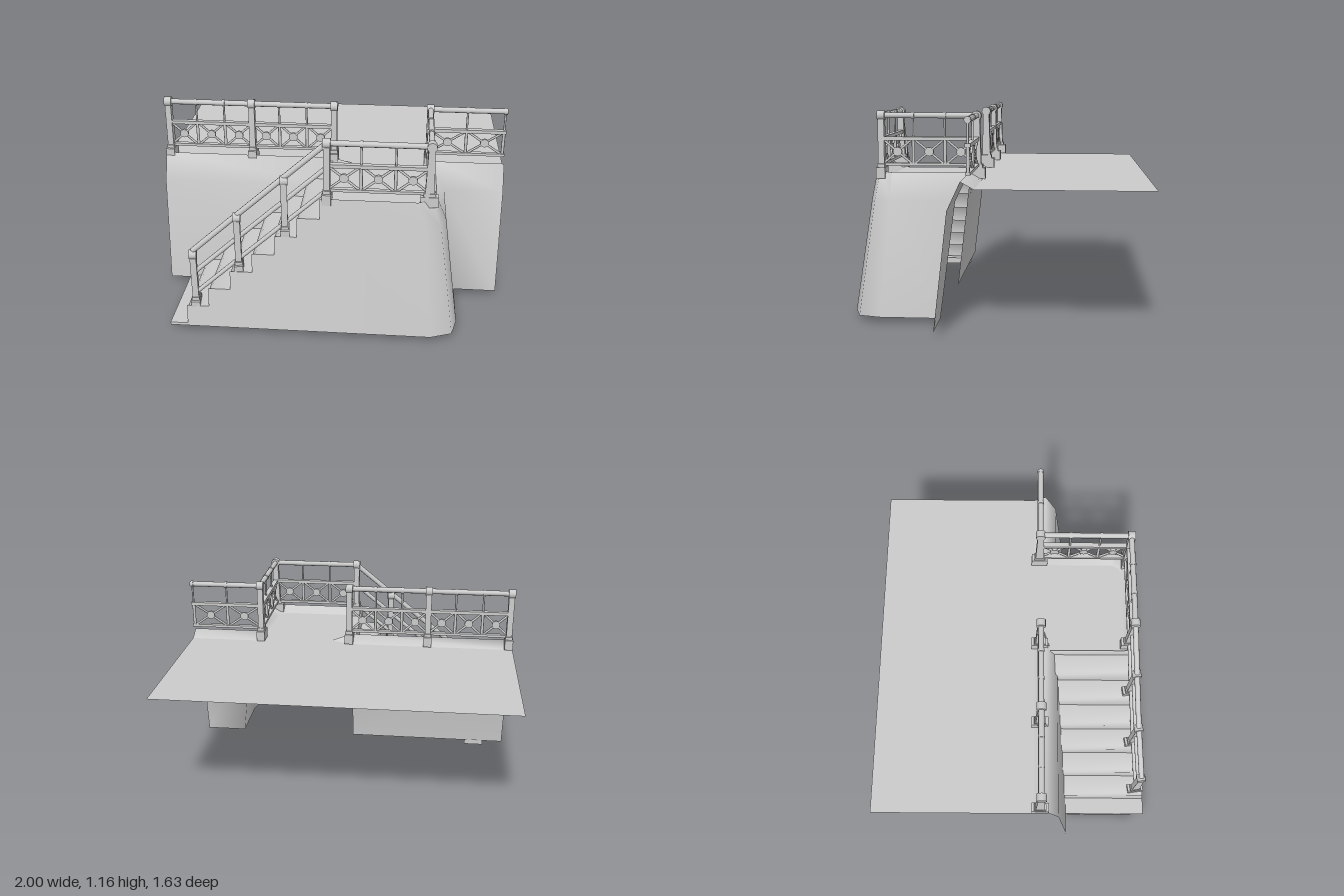
import * as THREE from 'three';
import { toCreasedNormals } from 'three/addons/utils/BufferGeometryUtils.js';

const solid = new THREE.MeshStandardMaterial({ color: 0xcccccc });
const sheet = new THREE.MeshStandardMaterial({ color: 0xcccccc, side: THREE.DoubleSide });
const V = (x, y, z) => new THREE.Vector3(x, y, z);
const UP = V(0, 1, 0);

function add(parent, name, geometry, material = solid) {
  const mesh = new THREE.Mesh(geometry, material);
  mesh.name = name;
  parent.add(mesh);
  return mesh;
}

// Sheet stretched between rows of points
function loft(rows, crease) {
  const n = rows[0].length, index = [];
  for (let r = 0; r < rows.length - 1; r++)
    for (let i = 0; i < n - 1; i++) {
      const a = r * n + i, b = a + n;
      index.push(a, a + 1, b, a + 1, b + 1, b);
    }
  const g = new THREE.BufferGeometry().setFromPoints(rows.flat());
  g.setIndex(index);
  return toCreasedNormals(g, crease);
}

// Flat polygon from [x, y] pairs
const flat = pts => new THREE.ShapeGeometry(new THREE.Shape(pts.map(([x, y]) => new THREE.Vector2(x, y))));

// Round bar between two points
function bar(parent, name, p, q, r, sides = 10) {
  const d = q.clone().sub(p);
  const m = add(parent, name, new THREE.CylinderGeometry(r, r, d.length(), sides));
  m.position.copy(p).add(q).multiplyScalar(0.5);
  m.quaternion.setFromUnitVectors(UP, d.normalize());
}

// Heights: rim of the walls, ground behind the curb, foot of the walls
const RIM = 0.82, GROUND = 0.78, BOTTOM = 0.035;
const FIRST = -0.775, RUN = 0.125, RISE = 0.109;

// Leaning wall planes: z as a function of height
const frontZ = y => 0.815 - (y - BOTTOM) * 0.1465;
const backZ = y => y > 0.67 ? 0.17 + (RIM - y) * 0.467 : 0.24 + (0.67 - y) * 0.118;

// Step profile in x and y from the foot to the landing, with an optional rounded nose
function stepProfile(nose, last) {
  const pts = [[-0.875, 0.05], [FIRST, 0.05]];
  for (let i = 0; i < 7; i++) {
    const x = FIRST + i * RUN, y = i === 6 ? last : 0.16 + i * RISE;
    if (nose) pts.push([x, y - nose], [x + nose, y]);
    else pts.push([x, y]);
    if (i < 6) pts.push([x + RUN, y]);
  }
  return pts;
}

// Post with foot, tapered shaft and a round cap lying along the rail
function post(parent, x, y, z, angle = 0, foot = 0.06) {
  const g = new THREE.Group();
  g.name = 'post';
  g.position.set(x, y, z);
  g.rotation.y = angle;
  const base = add(g, 'postFoot', new THREE.BoxGeometry(0.05, foot, 0.096));
  base.position.y = 0.025 - foot / 2;
  const collar = add(g, 'postCollar', new THREE.BoxGeometry(0.042, 0.02, 0.066));
  collar.position.y = 0.034;
  const shaftGeo = new THREE.BoxGeometry(0.035, 0.27, 0.05);
  const p = shaftGeo.attributes.position;
  for (let i = 0; i < p.count; i++) if (p.getY(i) > 0) p.setZ(i, p.getZ(i) * 0.68);
  shaftGeo.computeVertexNormals();
  add(g, 'postShaft', shaftGeo).position.y = 0.175;
  const cap = add(g, 'postCap', new THREE.CylinderGeometry(0.027, 0.027, 0.042, 12));
  cap.rotation.z = Math.PI / 2;
  cap.position.y = 0.31;
  parent.add(g);
}

// Level railing with n braced bays from (x0,z0) to (x1,z1)
function railing(parent, x0, z0, x1, z1, n, overhang = 0) {
  const g = new THREE.Group();
  g.name = 'railing';
  g.position.set(x0, RIM, z0);
  g.rotation.y = Math.atan2(-(z1 - z0), x1 - x0);
  const len = Math.hypot(x1 - x0, z1 - z0), end = len + overhang, bay = len / n;
  bar(g, 'topRail', V(0, 0.31, 0), V(end, 0.31, 0), 0.016);
  const mid = add(g, 'middleRail', new THREE.BoxGeometry(end, 0.02, 0.03));
  mid.position.set(end / 2, 0.183, 0);
  const low = add(g, 'bottomRail', new THREE.BoxGeometry(end, 0.016, 0.026));
  low.position.set(end / 2, 0.04, 0);
  for (let i = 0; i < n; i++) {
    const a = i * bay, b = a + bay, c = (a + b) / 2;
    bar(g, 'brace', V(a + 0.01, 0.045, 0), V(b - 0.01, 0.175, 0), 0.007, 6);
    bar(g, 'brace', V(a + 0.01, 0.175, 0), V(b - 0.01, 0.045, 0), 0.007, 6);
    const disc = add(g, 'braceDisc', new THREE.CylinderGeometry(0.025, 0.025, 0.014, 14));
    disc.rotation.x = Math.PI / 2;
    disc.position.set(c, 0.11, 0);
    if (i < n - 1 || overhang) {
      bar(g, 'lowerBaluster', V(b, 0.04, 0), V(b, 0.18, 0), 0.009, 8);
      bar(g, 'upperBaluster', V(b, 0.18, 0), V(b, 0.31, 0), 0.006, 8);
      bar(g, 'balusterCollar', V(b - 0.008, 0.31, 0), V(b + 0.008, 0.31, 0), 0.019);
    }
  }
  parent.add(g);
}

export function createModel() {
  const model = new THREE.Group();
  model.name = 'steppedTerrace';

  // Outlines of the landing wall (x, z) at foot, shoulder, rim and inner curb
  const left = FIRST + 6 * RUN;
  const foot = [[left, frontZ(BOTTOM)], [0.6, frontZ(BOTTOM)], [0.72, 0.77], [0.75, 0.65], [0.75, 0.315], [1, 0.315]];
  const shoulder = [[left, frontZ(0.67)], [0.55, frontZ(0.67)], [0.63, 0.69], [0.66, 0.6], [0.66, 0.24], [1, 0.24]];
  const rim = [[left, frontZ(RIM)], [0.5, frontZ(RIM)], [0.57, 0.67], [0.6, 0.6], [0.6, 0.17], [1, 0.17]];
  const curb = [[left, 0.64], [0.47, 0.64], [0.52, 0.62], [0.54, 0.58], [0.54, 0.1], [1, 0.1]];
  const row = (pts, y) => pts.map(([x, z]) => V(x, y, z));
  add(model, 'landingWall', loft([row(foot, BOTTOM), row(shoulder, 0.67), row(rim, RIM), row(curb, GROUND)], 1.75), sheet);

  // Flat ground with the landing tongue, inside the curb
  const ground = flat([[-1, 0.82], [-1, -0.1], [left, -0.1], ...curb.map(([x, z]) => [x, -z]), [1, 0.82]]);
  add(model, 'ground', ground.rotateX(-Math.PI / 2).translate(0, GROUND, 0), sheet);

  // Retaining wall behind the stairs, its curb and the curb's sloped end
  const span = (y, z) => [V(-1, y, z), V(0, y, z)];
  add(model, 'backWall', loft([...[BOTTOM, 0.67, RIM].map(y => span(y, backZ(y))), span(GROUND, 0.1)], 1.75), sheet);
  const tip = V(0, RIM, 0.17);
  add(model, 'curbEnd', loft([[V(0, GROUND, 0.19), V(0.12, GROUND, 0.15), V(0, GROUND, 0.1)], [tip, tip, tip]], 1), sheet);

  // Stairs and the wall below their outer edge
  const steps = stepProfile(0.02, GROUND);
  add(model, 'steps', loft([frontZ, backZ].map(f => steps.map(([x, y]) => V(x, y, f(y)))), 0.9), sheet);
  const sideGeo = flat([[left, BOTTOM], ...stepProfile(0, RIM).reverse(), [-0.875, BOTTOM]]);
  const sp = sideGeo.attributes.position;
  for (let i = 0; i < sp.count; i++) sp.setZ(i, frontZ(sp.getY(i)));
  sideGeo.computeVertexNormals();
  add(model, 'stairWall', sideGeo, sheet);
  add(model, 'bottomSlab', new THREE.BoxGeometry(0.12, 0.04, 0.41)).position.set(-0.815, 0.02, 0.53);

  // Level railings and their posts
  const rail = 0.13;
  railing(model, -0.975, rail, -0.48, rail, 3);
  railing(model, -0.48, rail, 0.005, rail, 3);
  railing(model, 0.01, 0.66, 0.56, 0.66, 3);
  railing(model, 0.56, 0.66, 0.56, rail, 3);
  railing(model, 0.56, rail, 0.988, rail, 2, 0.012);
  for (const x of [-0.975, -0.48, 0.005, 0.56]) post(model, x, RIM, rail);
  post(model, 0.01, RIM, 0.66);
  post(model, 0.56, RIM, 0.66, Math.PI / 2);

  // Sloped stair railing
  const stops = [[-0.73, 0.16, 0.75], [-0.48, 0.385, 0.715], [-0.22, 0.605, 0.685], [0.01, RIM, 0.66]];
  const railY = x => 1.13 + (x - 0.01) * 0.86;
  stops.slice(0, 3).forEach(([x, y, z], i) => {
    post(model, x, y, z, 0.13, 0.035);
    const [x2, , z2] = stops[i + 1];
    [[0, 0.016, 'stairTopRail'], [-0.14, 0.013, 'stairMiddleRail'], [-0.275, 0.012, 'stairBottomRail']]
      .forEach(([dy, r, name]) => bar(model, name, V(x, railY(x) + dy, z), V(x2, railY(x2) + dy, z2), r));
  });
  return model;
}
